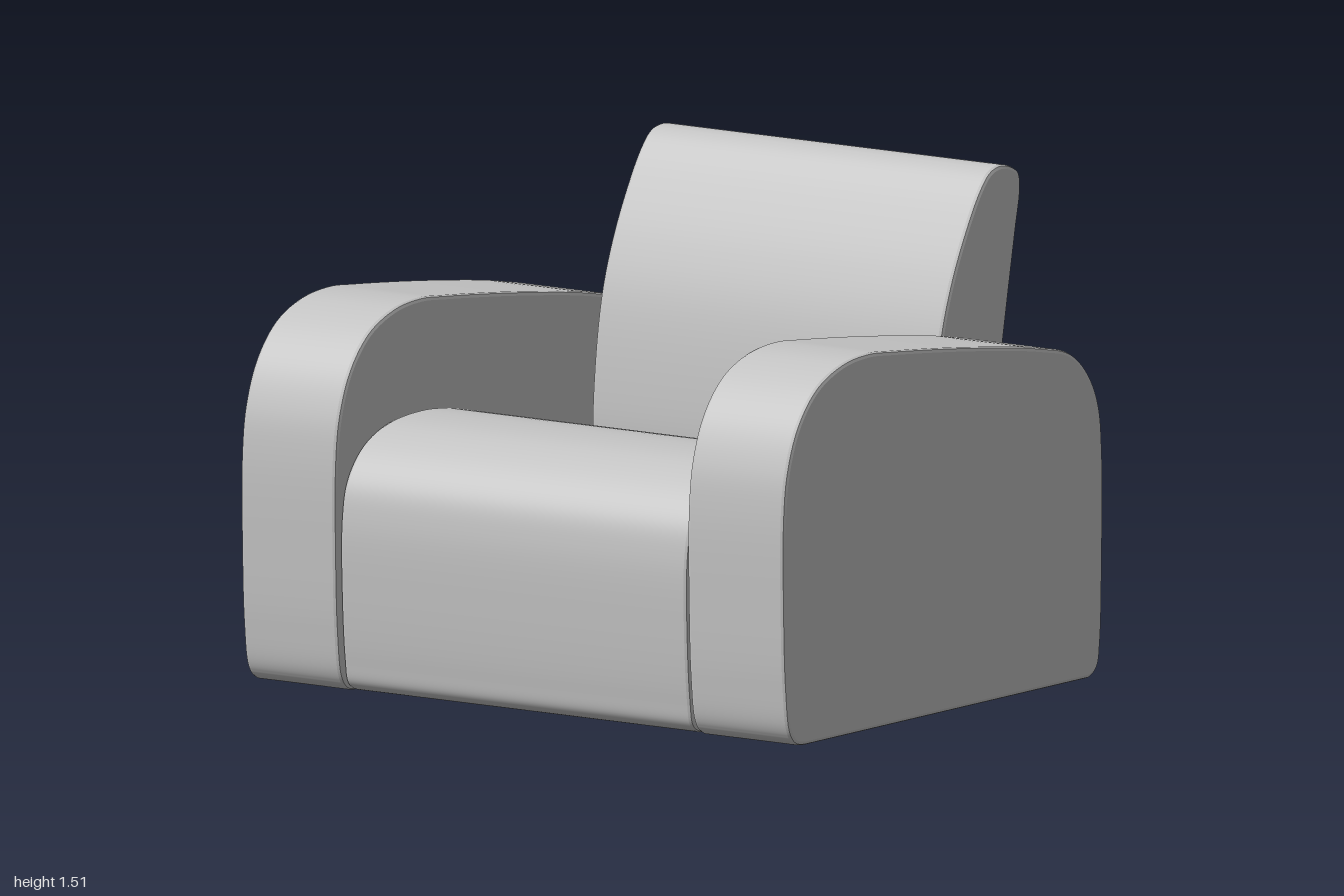
import * as THREE from 'three';
import { toCreasedNormals } from 'three/addons/utils/BufferGeometryUtils.js';

const upholstery = new THREE.MeshStandardMaterial({ color: 0xc4c4c4 });
upholstery.name = 'grey upholstery';

// A cushion: closed smooth side profile of [z, y] points, swept from x0 to x1
// with a small rounded seam along both side edges.
function cushion(name, profile, x0, x1, seam = 0.012) {
  const curve = new THREE.CatmullRomCurve3(
    profile.map(([z, y]) => new THREE.Vector3(z, y, 0)), true, 'centripetal');
  const outline = curve.getPoints(profile.length * 8).slice(0, -1);
  const shape = new THREE.Shape(outline.map((p) => new THREE.Vector2(p.x, Math.max(0, p.y))));
  const geometry = new THREE.ExtrudeGeometry(shape, {
    depth: x1 - x0 - 2 * seam,
    bevelThickness: seam,
    bevelSize: seam,
    bevelOffset: -seam,
    bevelSegments: 2,
  });
  geometry.rotateY(-Math.PI / 2);
  geometry.translate(x1 - seam, 0, 0);
  const mesh = new THREE.Mesh(toCreasedNormals(geometry, 0.35), upholstery);
  mesh.name = name;
  return mesh;
}

// Side profiles, counter-clockwise seen with z to the right
const armProfile = [
  [-0.69, 0], [-0.4, 0], [0.4, 0], [0.75, 0], [0.80, 0.012], [0.83, 0.05], [0.85, 0.18],
  [0.86, 0.4], [0.86, 0.7], [0.84, 0.84], [0.785, 0.97], [0.69, 1.07], [0.56, 1.125],
  [0.43, 1.14], [0.3, 1.13], [-0.1, 1.085], [-0.45, 1.033], [-0.6, 0.995], [-0.69, 0.92],
  [-0.742, 0.82], [-0.76, 0.68], [-0.76, 0.35], [-0.75, 0.1], [-0.735, 0.03],
];
const seatProfile = [
  [-0.72, 0.005], [-0.4, 0.005], [0.4, 0.005], [0.77, 0.005], [0.81, 0.03], [0.825, 0.1],
  [0.84, 0.3], [0.84, 0.53], [0.815, 0.64], [0.74, 0.73], [0.62, 0.785],
  [0.45, 0.803], [0.3, 0.79], [-0.05, 0.71], [-0.42, 0.6], [-0.62, 0.53],
  [-0.71, 0.485], [-0.745, 0.43], [-0.748, 0.3], [-0.745, 0.1], [-0.742, 0.025],
];
const backProfile = [
  [-0.67, 0.45], [-0.55, 0.47], [-0.43, 0.52], [-0.41, 0.6], [-0.418, 0.8], [-0.455, 1.03],
  [-0.51, 1.19], [-0.58, 1.33], [-0.65, 1.44], [-0.7, 1.49], [-0.75, 1.505],
  [-0.81, 1.495], [-0.85, 1.47], [-0.858, 1.42], [-0.835, 1.3], [-0.79, 1.07],
  [-0.745, 0.83], [-0.69, 0.53],
];

export function createModel() {
  const chair = new THREE.Group();
  chair.name = 'armchair';
  chair.add(
    cushion('leftArm', armProfile, 0.645, 1),
    cushion('rightArm', armProfile, -1, -0.65),
    cushion('seatBase', seatProfile, -0.647, 0.63),
    cushion('backrest', backProfile, -0.63, 0.627),
  );
  return chair;
}
